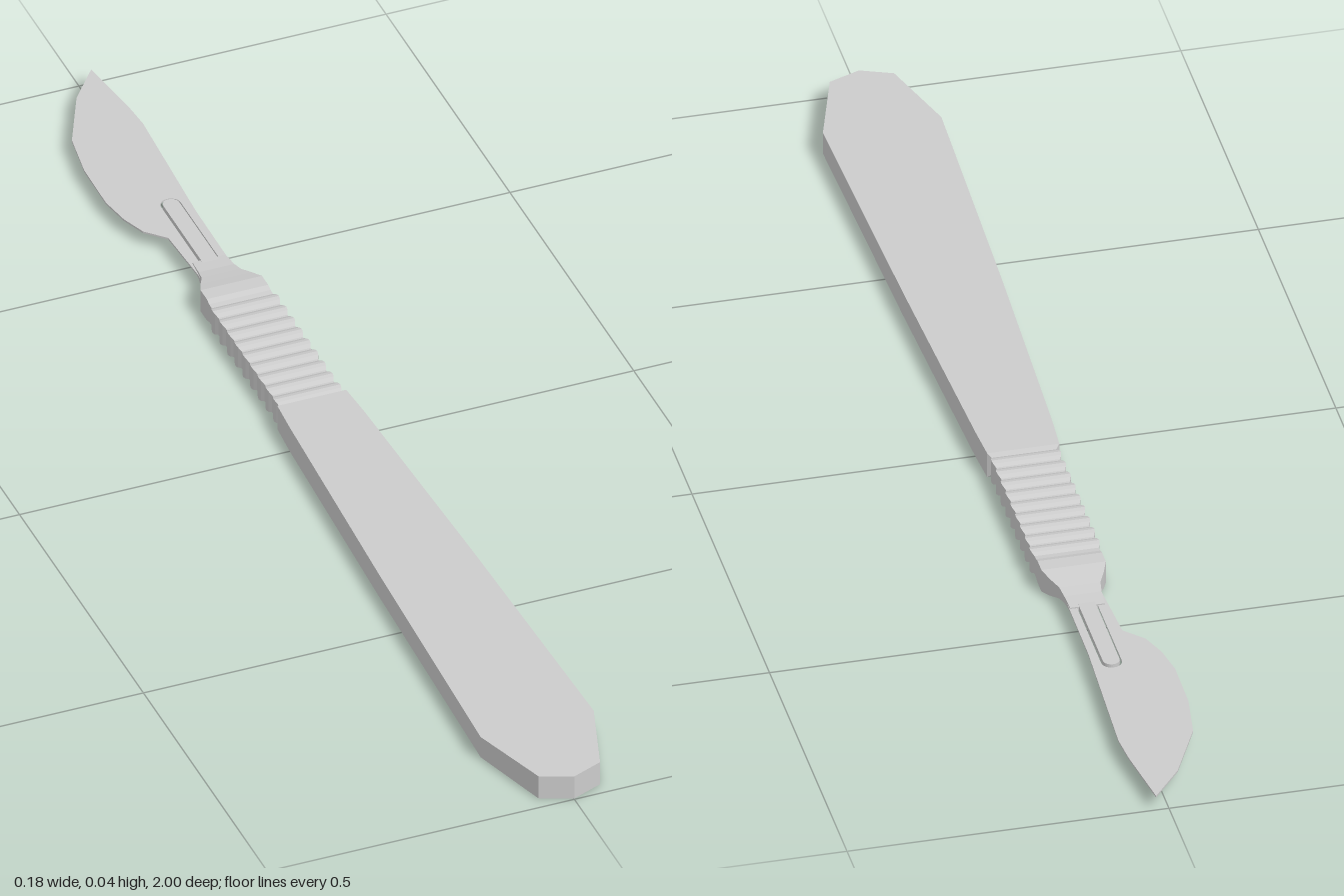
import * as THREE from 'three';

const MID = 0.022;      // mid-height of the handle
const BLADE_Y = 0.024;  // mid-height of the blade

// Loft rectangular sections [z, halfWidth, halfHeight, midY] from +z to -z
function loft(sections) {
  const pos = [], idx = [];
  for (const [z, w, h, y = MID] of sections)
    pos.push(w, y + h, z, -w, y + h, z, -w, y - h, z, w, y - h, z);
  for (let i = 0; i < sections.length - 1; i++)
    for (let j = 0; j < 4; j++) {
      const a = i * 4 + j, b = i * 4 + (j + 1) % 4;
      idx.push(a, a + 4, b, b, a + 4, b + 4);
    }
  const e = (sections.length - 1) * 4;
  idx.push(e, e + 2, e + 1, e, e + 3, e + 2, 0, 1, 2, 0, 2, 3);
  const g = new THREE.BufferGeometry();
  g.setAttribute('position', new THREE.Float32BufferAttribute(pos, 3));
  g.setIndex(idx);
  const flat = g.toNonIndexed();
  flat.computeVertexNormals();
  return flat;
}

// Horizontal plate from an outline drawn in (x, z)
function plate(shape, thickness) {
  const g = new THREE.ExtrudeGeometry(shape, { depth: thickness, bevelEnabled: false, curveSegments: 6 });
  g.rotateX(Math.PI / 2);
  g.translate(0, BLADE_Y + thickness / 2, 0);
  return g;
}

// Long slot outline with a rounded far end
function slot(PathType, r, z0, z1) {
  const p = new PathType();
  p.moveTo(r, z0);
  p.lineTo(-r, z0);
  p.lineTo(-r, z1 + r);
  p.absarc(0, z1 + r, r, Math.PI, Math.PI * 2, false);
  p.lineTo(r, z0);
  return p;
}

export function createModel() {
  const group = new THREE.Group();
  const material = new THREE.MeshStandardMaterial({ color: 0xcccccc, flatShading: true, side: THREE.DoubleSide });
  const add = (name, geometry) => {
    const mesh = new THREE.Mesh(geometry, material);
    mesh.name = name;
    group.add(mesh);
  };

  // Handle: blunt faceted butt, long taper
  const sections = [
    [1.0, 0, 0.0205], [0.98, 0.05, 0.0205], [0.85, 0.092, 0.0187],
    [0.4, 0.077, 0.0205], [0.0, 0.06, 0.022], [-0.06, 0.056, 0.0215],
  ];
  // Grip: row of rounded ridges
  const ridges = 9, start = -0.065, pitch = 0.031;
  for (let i = 0; i < ridges; i++)
    for (let k = 0; k < 5; k++) {
      const bump = Math.sin(Math.PI * k / 4);
      sections.push([start - pitch * (i + k * 0.22), 0.05 + 0.004 * bump, 0.0155 + 0.0045 * bump]);
    }
  // Collar and neck, sweeping down into the blade mount
  sections.push(
    [-0.35, 0.05, 0.0165], [-0.36, 0.05, 0.0195], [-0.385, 0.05, 0.0195],
    [-0.405, 0.042, 0.015], [-0.425, 0.032, 0.01, 0.023],
    [-0.445, 0.029, 0.006, 0.0235], [-0.475, 0.027, 0.0035, BLADE_Y],
  );
  add('handle', loft(sections));

  // Blade: straight spine, curved cutting edge, slotted for the mount
  const blade = new THREE.Shape([
    [0.028, -0.44], [0.029, -0.6], [0.04, -0.84], [0.036, -0.89], [0.02, -1.0],
    [-0.028, -0.94], [-0.076, -0.84], [-0.088, -0.76], [-0.089, -0.67],
    [-0.08, -0.62], [-0.065, -0.58], [-0.036, -0.55], [-0.03, -0.44],
  ].map(([x, z]) => new THREE.Vector2(x, z)));
  blade.holes.push(slot(THREE.Path, 0.016, -0.46, -0.645));
  add('blade', plate(blade, 0.003));

  // Mount: narrow tongue standing proud inside the blade slot
  add('mountTongue', plate(slot(THREE.Shape, 0.013, -0.44, -0.64), 0.008));

  return group;
}
